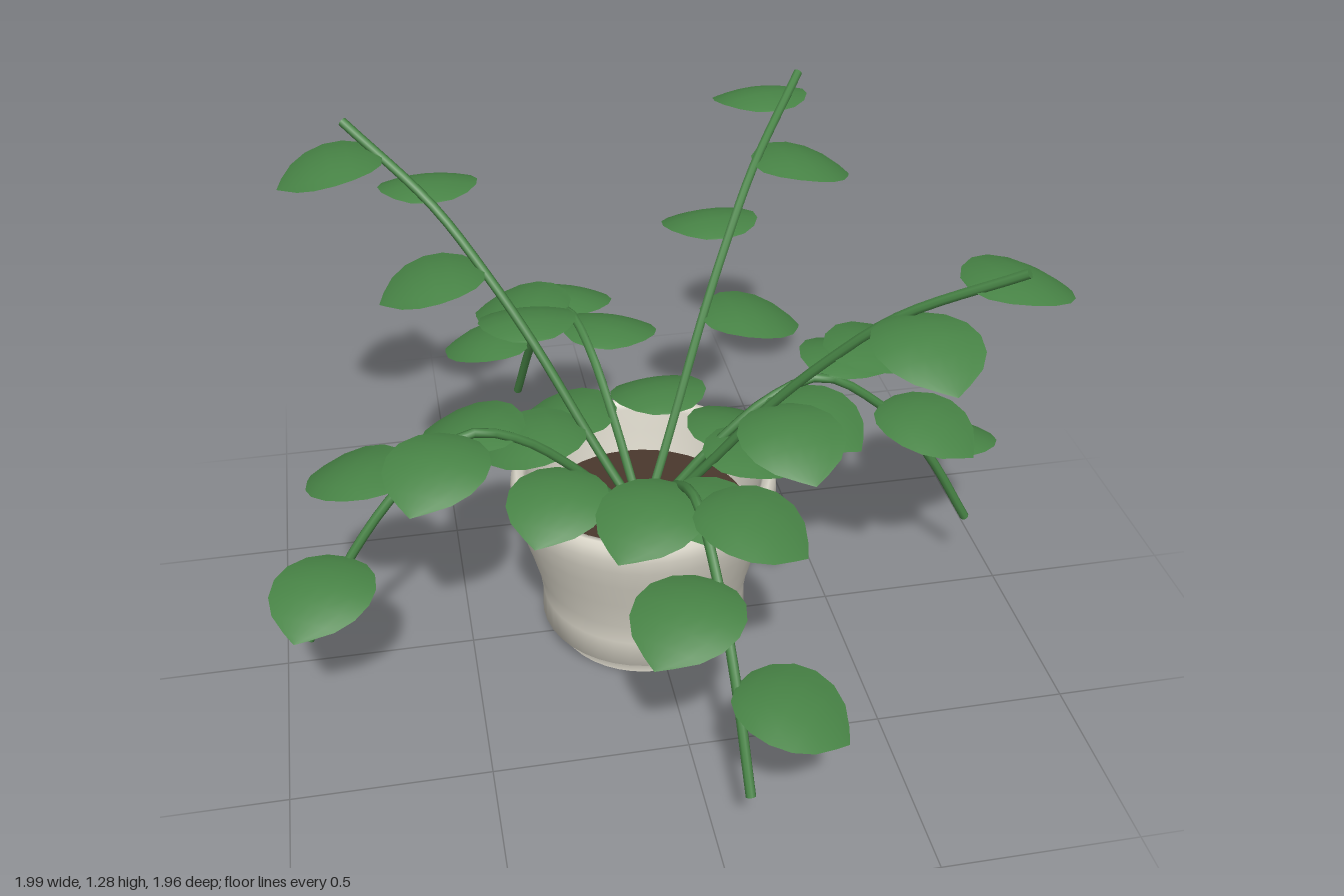
import * as THREE from 'three';

const mat = (name, color, side = THREE.FrontSide) => {
  const m = new THREE.MeshStandardMaterial({ color, side });
  m.name = name;
  return m;
};

// Leaf: base at the origin, tip along +x, arched along its length and domed across
function leafGeometry() {
  const rows = [[0, 0], [0.04, 0.055], [0.15, 0.096], [0.32, 0.125], [0.5, 0.133],
    [0.68, 0.12], [0.83, 0.087], [0.94, 0.037], [1, 0]];
  const cols = 6, length = 0.28, pos = [], index = [];
  for (const [t, w] of rows) {
    for (let j = 0; j <= cols; j++) {
      const z = ((j / cols) * 2 - 1) * w;
      pos.push(t * length, 0.12 * t - 0.18 * t * t - 1.2 * z * z, z);
    }
  }
  for (let i = 0; i < rows.length - 1; i++) {
    for (let j = 0; j < cols; j++) {
      const a = i * (cols + 1) + j, b = a + cols + 1;
      if (i > 0) index.push(a, a + 1, b + 1);
      if (i < rows.length - 2) index.push(a, b + 1, b);
    }
  }
  const g = new THREE.BufferGeometry();
  g.setAttribute('position', new THREE.Float32BufferAttribute(pos, 3));
  g.setIndex(index);
  g.computeVertexNormals();
  return g;
}

export function createModel() {
  const plant = new THREE.Group();
  plant.name = 'pottedPlant';
  const ceramic = mat('pale ceramic', 0xd9d5c8);
  const earth = mat('brown soil', 0x4a382d);
  const stemGreen = mat('stem green', 0x478345);
  const leafGreen = mat('leaf green', 0x488446, THREE.DoubleSide);

  const add = (parent, name, geometry, material) => {
    const mesh = new THREE.Mesh(geometry, material);
    mesh.name = name;
    parent.add(mesh);
    return mesh;
  };

  const body = new THREE.Group();
  body.name = 'plantBody';
  body.position.set(-0.02, 0, -0.025);
  plant.add(body);

  // Smooth pot wall with a recessed foot, rounded rim and inner wall
  const profile = [[0.24, 0], [0.24, 0.055], [0.279, 0.056], [0.276, 0.13], [0.284, 0.19],
    [0.308, 0.28], [0.332, 0.36], [0.347, 0.42], [0.352, 0.46], [0.348, 0.49], [0.335, 0.503],
    [0.318, 0.5], [0.31, 0.48], [0.3, 0.42], [0.28, 0.34]].map(([x, y]) => new THREE.Vector2(x, y));
  add(body, 'potWall', new THREE.LatheGeometry(profile, 40), ceramic);

  const potBase = add(body, 'potBase', new THREE.CircleGeometry(0.24, 40), ceramic);
  potBase.rotation.x = Math.PI / 2;

  const soil = add(body, 'soil', new THREE.CircleGeometry(0.288, 40), earth);
  soil.rotation.x = -Math.PI / 2;
  soil.position.y = 0.36;

  // Stem paths as [distance outward, height]
  const upright = [[0, 0.33], [0.09, 0.44], [0.18, 0.56], [0.335, 0.775], [0.48, 0.945],
    [0.64, 1.1], [0.92, 1.27]];
  const drooping = [[0, 0.33], [0.09, 0.435], [0.18, 0.54], [0.335, 0.68], [0.47, 0.728],
    [0.635, 0.625], [0.78, 0.455], [0.92, 0.21]];
  const leafGeo = leafGeometry();

  // Height of a path at a given distance outward
  const heightAt = (curve, r) => {
    let lo = 0, hi = 1;
    for (let i = 0; i < 20; i++) {
      const mid = (lo + hi) / 2;
      if (curve.getPoint(mid).x < r) lo = mid; else hi = mid;
    }
    return curve.getPoint(lo).y;
  };

  // Stems fan out around the pot, each with five alternating leaves
  const branches = [[0, drooping], [32.5, upright], [85, drooping], [168.5, drooping],
    [222, upright], [255, drooping], [308.5, upright]];
  for (const [degrees, path] of branches) {
    const branch = new THREE.Group();
    branch.name = 'branch';
    branch.rotation.y = -THREE.MathUtils.degToRad(degrees);
    body.add(branch);

    const curve = new THREE.CatmullRomCurve3(path.map(([r, y]) => new THREE.Vector3(r, y, 0)));
    add(branch, 'stem', new THREE.TubeGeometry(curve, 24, 0.0125, 8), stemGreen);
    const cap = add(branch, 'stemTip', new THREE.CircleGeometry(0.0125, 8), stemGreen);
    cap.position.copy(curve.getPoint(1));
    cap.quaternion.setFromUnitVectors(new THREE.Vector3(0, 0, 1), curve.getTangent(1));

    [0.18, 0.335, 0.483, 0.64, 0.793].forEach((r, i) => {
      const leaf = add(branch, 'leaf', leafGeo, leafGreen);
      leaf.position.set(r, heightAt(curve, r) + 0.005, 0);
      leaf.rotation.y = (i % 2 ? -1 : 1) * 0.82;
    });
  }
  return plant;
}
